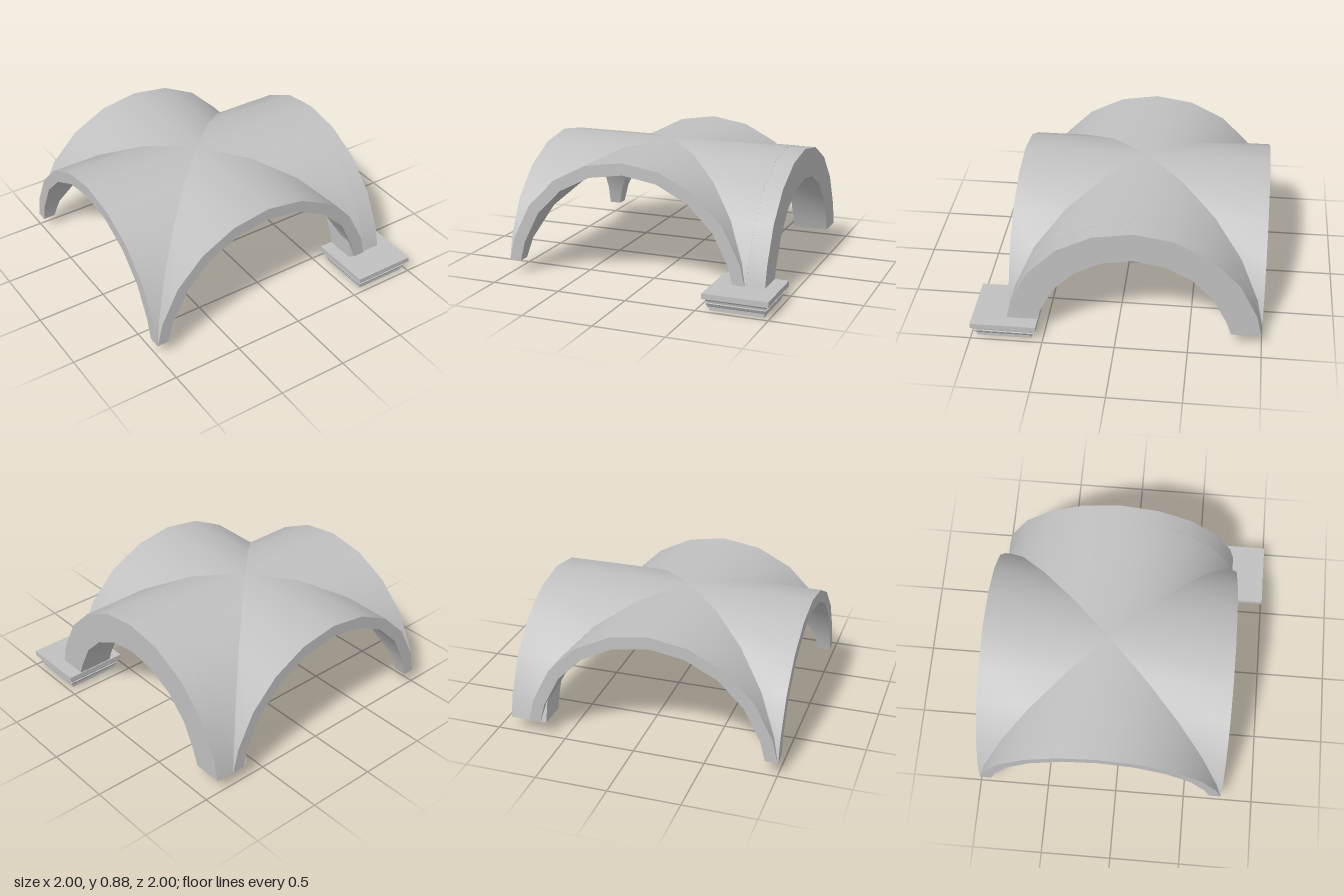
import * as THREE from 'three';
import { mergeGeometries } from 'three/addons/utils/BufferGeometryUtils.js';

const FOOT_Y = 0.1;

// Half-round arch line in 18 degree steps, ending at the foot level
function archLine(radius, foot, top) {
  const line = [[-foot, FOOT_Y]];
  for (let i = 1; i < 10; i++) {
    const a = Math.PI * (1 - i / 10);
    line.push([radius * Math.cos(a), top - radius + radius * Math.sin(a)]);
  }
  line.push([foot, FOOT_Y]);
  return line;
}

// Smooth strip of quads between two rows of points
function strip(a, b) {
  const n = a.length, index = [];
  for (let i = 0; i < n - 1; i++) {
    index.push(i, n + i, i + 1, i + 1, n + i, n + i + 1);
  }
  const g = new THREE.BufferGeometry();
  g.setAttribute('position', new THREE.Float32BufferAttribute([...a, ...b].flat(), 3));
  g.setIndex(index);
  g.computeVertexNormals();
  return g;
}

// Thick arch running from backZ(x) to frontZ
function archShell(outer, inner, backZ, frontZ, closedBack) {
  const place = (line, z) => line.map(([x, y]) => [x, y, z(x)]);
  const front = () => frontZ;
  const oB = place(outer, backZ), oF = place(outer, front);
  const iB = place(inner, backZ), iF = place(inner, front);
  const e = outer.length - 1;
  const parts = [
    strip(oB, oF),                               // upper surface
    strip(iF, iB),                               // underside
    strip(oF, iF),                               // front face
    strip([iF[e], oF[e]], [iB[e], oB[e]]),       // feet
    strip([oF[0], iF[0]], [oB[0], iB[0]]),
  ];
  if (closedBack) parts.push(strip(iB, oB));
  return mergeGeometries(parts);
}

export function createModel() {
  const stone = new THREE.MeshStandardMaterial({ color: 0xc0c0c0 });
  stone.name = 'stone grey';
  const model = new THREE.Group();
  model.name = 'groinVault';

  const arches = new THREE.Group();
  arches.name = 'arches';
  arches.position.set(-0.117, 0, -0.116);
  model.add(arches);

  // Four vault quarters meeting along the diagonal groins
  const quarter = archShell(
    archLine(0.885, 0.882, 0.88), archLine(0.8, 0.797, 0.795), Math.abs, 0.885, false);
  for (let i = 0; i < 4; i++) {
    const mesh = new THREE.Mesh(quarter, stone);
    mesh.name = 'vaultQuarter' + (i + 1);
    mesh.rotation.y = i * Math.PI / 2;
    arches.add(mesh);
  }

  // Deeper arch along the +x side
  const rib = new THREE.Mesh(archShell(
    archLine(0.883, 0.88, 0.879), archLine(0.67, 0.673, 0.665), () => 0.755, 1.016, true), stone);
  rib.name = 'sideArch';
  rib.rotation.y = Math.PI / 2;
  arches.add(rib);

  // Square moulded capital under the front corner
  const profile = [
    [0, 0], [0.188, 0], [0.188, 0.02], [0.194, 0.02], [0.194, 0.028], [0.199, 0.035],
    [0.208, 0.052], [0.2, 0.055], [0.203, 0.068], [0.212, 0.08], [0.212, 0.085],
    [0.228, 0.085], [0.228, 0.123], [0, 0.123],
  ].map(([r, y]) => new THREE.Vector2(r * Math.SQRT2, y));
  const capitalShape = new THREE.LatheGeometry(profile, 4).rotateY(Math.PI / 4).toNonIndexed();
  capitalShape.computeVertexNormals();
  const capital = new THREE.Mesh(capitalShape, stone);
  capital.name = 'capital';
  capital.position.set(0.77, 0, 0.77);
  model.add(capital);

  return model;
}
